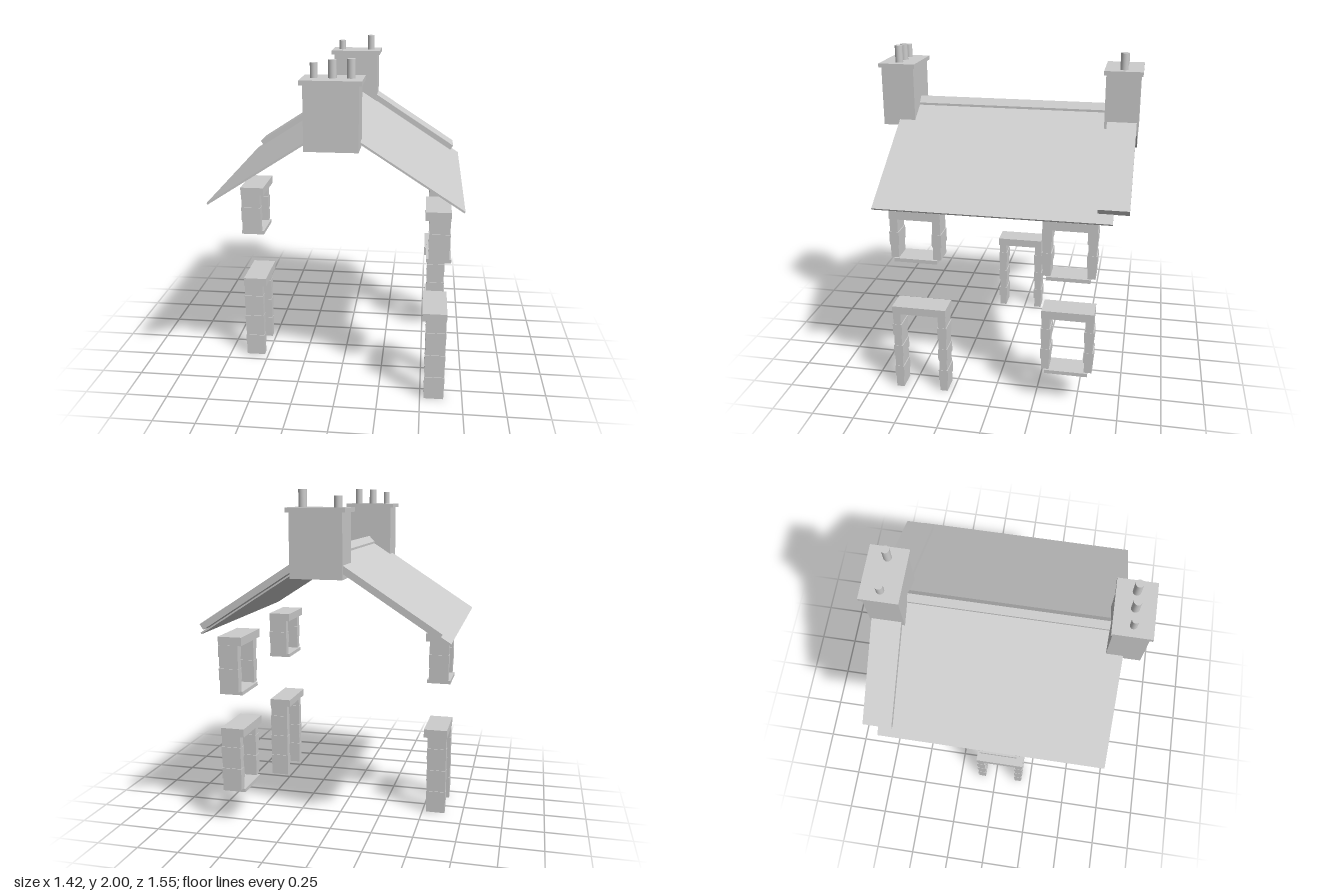
import * as THREE from 'three';

export function createModel() {
  const model = new THREE.Group();
  const stone = new THREE.MeshStandardMaterial({ color: 0xcccccc });
  stone.name = 'pale grey stone';

  const add = (parent, name, geometry) => {
    const mesh = new THREE.Mesh(geometry, stone);
    mesh.name = name;
    parent.add(mesh);
    return mesh;
  };

  // Box given by its limits on each axis
  const block = (parent, name, [x0, x1], [y0, y1], [z0, z1]) =>
    add(parent, name, new THREE.BoxGeometry(x1 - x0, y1 - y0, z1 - z0))
      .position.set((x0 + x1) / 2, (y0 + y1) / 2, (z0 + z1) / 2);

  // Closed section symmetric in x, run along z; points go down the right half
  // from the top of the ridge to the underside of the ridge
  const gable = (name, half, z0, z1) => {
    const mirrored = half.slice(1, -1).reverse().map(([x, y]) => [-x, y]);
    const shape = new THREE.Shape([...half, ...mirrored].map(([x, y]) => new THREE.Vector2(x, y)));
    const geometry = new THREE.ExtrudeGeometry(shape, { depth: z1 - z0, bevelEnabled: false });
    add(model, name, geometry).position.z = z0;
  };

  // Roof: thin pitched sheet, ridge cap and the raised coping at the back gable
  gable('roof', [[0, 1.655], [0.712, 1.195], [0.706, 1.186], [0, 1.642]], -0.67, 0.665);
  gable('ridgeCap', [[0, 1.682], [0.036, 1.645], [0.036, 1.63], [0, 1.65]], -0.6, 0.6);
  gable('gableCoping', [[0, 1.697], [0.675, 1.26], [0.655, 1.229], [0, 1.653]], -0.755, -0.585);

  // Chimneys: stack, cap slab and pots as [x, radius, top]
  const chimney = (name, z, pots) => {
    const group = new THREE.Group();
    group.name = name;
    block(group, 'stack', [-0.146, 0.144], [1.527, 1.878], [z - 0.098, z + 0.098]);
    block(group, 'capSlab', [-0.164, 0.161], [1.875, 1.9], [z - 0.11, z + 0.11]);
    for (const [x, r, top] of pots) {
      const height = top - 1.89;
      add(group, 'pot', new THREE.CylinderGeometry(r, r, height, 24))
        .position.set(x, 1.89 + height / 2, z);
    }
    model.add(group);
  };
  chimney('frontChimney', 0.667, [[-0.1, 0.02, 1.978], [-0.003, 0.023, 1.994], [0.095, 0.023, 2]]);
  chimney('backChimney', -0.667, [[-0.1, 0.022, 1.96], [0.095, 0.023, 1.995]]);

  // Stone surround: two jambs of alternating blocks, a lintel and, on windows, a sill
  const surround = (name, side, { base, lintel, span, sill }) => {
    const group = new THREE.Group();
    group.name = name;
    const depth = (inner, outer) => (side > 0 ? [inner, outer] : [-outer, -inner]);
    const [z0, z1] = span;
    const rows = Math.round((lintel[0] - base) / 0.071);
    const rise = (lintel[0] - base) / rows;
    for (let i = 0; i < rows; i++) {
      const y = [base + i * rise, base + (i + 1) * rise];
      const grow = i % 2 ? 0.005 : 0;
      const x = depth(0.524 - grow * 0.4, 0.64 + grow * 0.4);
      block(group, 'jambBlock', x, y, [z0 - grow, z0 + 0.046 + grow]);
      block(group, 'jambBlock', x, y, [z1 - 0.046 - grow, z1 + grow]);
    }
    block(group, 'lintel', depth(0.5, 0.643), lintel, [z0 - 0.002, z1 + 0.002]);
    if (sill) block(group, 'sill', depth(0.51, 0.652), [base - 0.022, base], sill);
    model.add(group);
  };

  surround('leftDoor', 1, { base: 0, lintel: [0.504, 0.552], span: [0.282, 0.603] });
  surround('leftLowerWindow', 1, { base: 0.228, lintel: [0.56, 0.61], span: [-0.588, -0.29], sill: [-0.562, -0.312] });
  surround('leftUpperFrontWindow', 1, { base: 0.875, lintel: [1.11, 1.16], span: [0.294, 0.589], sill: [0.314, 0.568] });
  surround('leftUpperBackWindow', 1, { base: 0.832, lintel: [1.11, 1.16], span: [-0.588, -0.29], sill: [-0.562, -0.312] });
  surround('rightDoor', -1, { base: 0, lintel: [0.488, 0.54], span: [-0.118, 0.185] });
  surround('rightUpperWindow', -1, { base: 0.851, lintel: [1.094, 1.142], span: [-0.11, 0.175], sill: [-0.087, 0.149] });

  return model;
}
